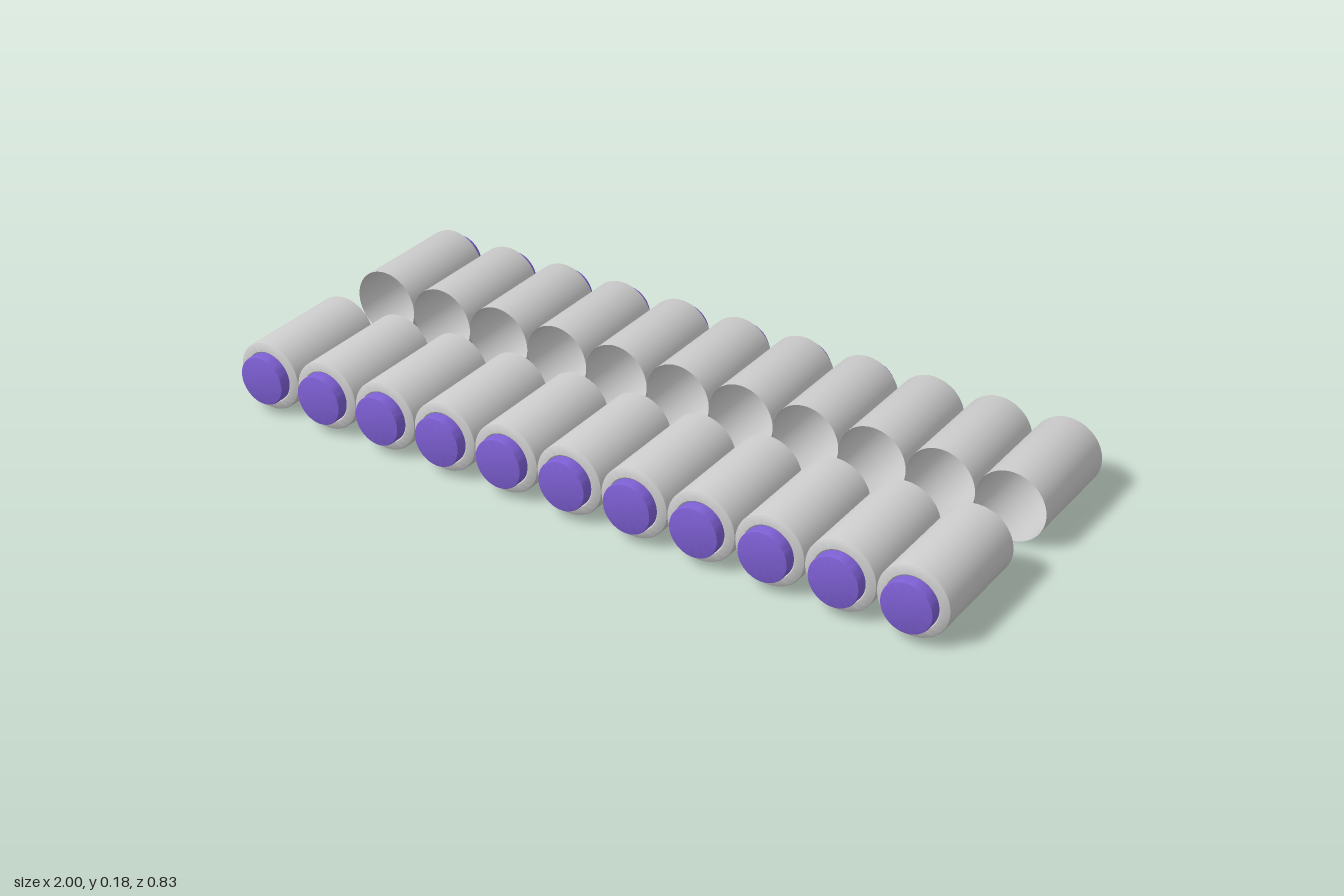
import * as THREE from 'three';
import { toCreasedNormals } from 'three/addons/utils/BufferGeometryUtils.js';

const COUNT = 11;
const RADIUS = 1 / COUNT; // tubes touch side by side across 2 units

// Turned profile of [radius, z] points, axis along z
function turned(profile) {
  const points = profile.map(([r, z]) => new THREE.Vector2(r, z));
  const geometry = new THREE.LatheGeometry(points, 48).rotateX(Math.PI / 2);
  return toCreasedNormals(geometry, 0.5);
}

export function createModel() {
  const model = new THREE.Group();
  model.name = 'tubeRows';

  const grey = new THREE.MeshStandardMaterial({ color: 0xcccccc, side: THREE.DoubleSide });
  const purple = new THREE.MeshStandardMaterial({ color: 0x7d5fd3 });

  // Thin shell, open towards the middle, with a chamfered outer end
  const shellGeometry = turned([
    [RADIUS, 0.083], [RADIUS, 0.378], [RADIUS - 0.001, 0.381],
    [RADIUS - 0.004, 0.383], [0.068, 0.386], [0.064, 0.383], [0, 0.383],
  ]);
  // Raised round cap with a softened rim
  const capGeometry = turned([
    [0.065, 0.383], [0.065, 0.411], [0.064, 0.414], [0.061, 0.415], [0, 0.415],
  ]);

  // Two facing rows, the back one turned half way round
  for (const [name, angle] of [['frontRow', 0], ['backRow', Math.PI]]) {
    const row = new THREE.Group();
    row.name = name;
    row.rotation.y = angle;
    for (let i = 0; i < COUNT; i++) {
      const tube = new THREE.Group();
      tube.name = 'tube';
      const shell = new THREE.Mesh(shellGeometry, grey);
      shell.name = 'shell';
      const cap = new THREE.Mesh(capGeometry, purple);
      cap.name = 'endCap';
      tube.add(shell, cap);
      tube.position.set((i - (COUNT - 1) / 2) * 2 * RADIUS, RADIUS, 0);
      row.add(tube);
    }
    model.add(row);
  }
  return model;
}
